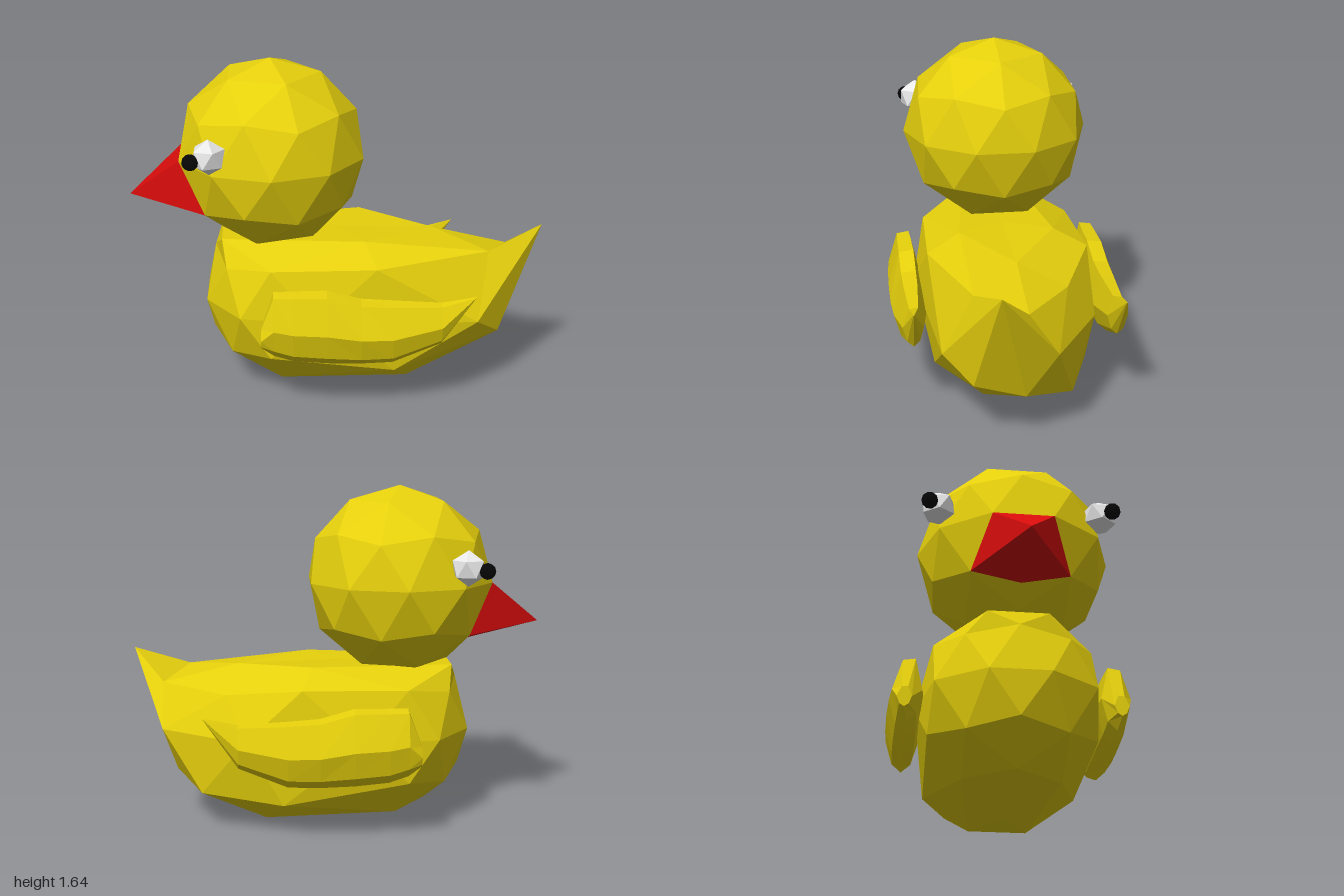
import * as THREE from 'three';
import { ConvexGeometry } from 'three/addons/geometries/ConvexGeometry.js';

const paint = (name, color) => {
  const m = new THREE.MeshStandardMaterial({ color, flatShading: true });
  m.name = name;
  return m;
};

// Faceted ball with one corner straight up and the ring below it starting at +x
function facetedBall(radius, detail) {
  return new THREE.IcosahedronGeometry(radius, detail)
    .rotateZ(-Math.atan(2 / (1 + Math.sqrt(5))));
}

// Body: a faceted ball whose rear corners are drawn back into a tail and whose top is flattened.
// Corners are keyed by level (height in the unit ball) and compass angle.
const bodyMoves = {
  '100': { any: [0, 0.785, 0] },
  '85': {
    '0': [0.48, 0.77, 0], '72': [0.13, 0.79, 0.23], '-72': [0.13, 0.79, -0.23],
    '144': [-0.555, 0.78, 0.142], '-144': [-0.555, 0.78, -0.142],
  },
  '53': { '36': [0.73, 0.73, 0.23], '-36': [0.54, 0.66, -0.23] },
  '45': { '0': [0.85, 0.68, 0], '72': [0.18, 0.71, 0.39], '-72': [0.18, 0.71, -0.39] },
  '0': {
    '18': [1, 0.83, 0.14], '-18': [0.85, 0.475, -0.14],
    '54': [0.67, 0.42, 0.37], '-54': [0.45, 0.46, -0.38],
    '90': [-0.1, 0.46, 0.44], '-90': [-0.1, 0.46, -0.44],
  },
  '-45': { '36': [0.79, 0.31, 0.24], '-36': [0.66, 0.18, -0.24] },
  '-53': { '0': [0.79, 0.24, 0], '72': [0.27, 0.17, 0.372], '-72': [0.27, 0.15, -0.375] },
  '-85': { '36': [0.35, 0.02, 0.142], '-36': [0.35, 0.02, -0.142] },
  '-100': { any: [0.07, 0, 0] },
};

function bodyGeometry() {
  const r = 0.46;
  const geo = facetedBall(r, 1);
  const p = geo.attributes.position;
  for (let i = 0; i < p.count; i++) {
    const x = p.getX(i), y = p.getY(i), z = p.getZ(i);
    const level = Math.round((y / r) * 100) + 0;
    const angle = Math.round(THREE.MathUtils.radToDeg(Math.atan2(z, x))) + 0;
    const row = bodyMoves[level];
    const to = row && (row.any || row[angle]);
    if (to) p.setXYZ(i, ...to);
    else p.setXYZ(i, x - 0.2, y + r, z);
  }
  geo.computeVertexNormals();
  return geo;
}

// Wing: loft of faceted sections from the rounded front to the pointed rear
function wingGeometry(side) {
  // x, top, bottom, centre z, half thickness
  const stations = [
    [-0.37, 0.47, 0.37, 0.5, 0.035],
    [-0.31, 0.635, 0.32, 0.485, 0.07],
    [-0.22, 0.635, 0.29, 0.485, 0.08],
    [-0.06, 0.635, 0.275, 0.485, 0.086],
    [0.1, 0.59, 0.27, 0.485, 0.086],
    [0.25, 0.58, 0.275, 0.485, 0.078],
    [0.48, 0.57, 0.37, 0.485, 0.05],
    [0.64, 0.61, 0.605, 0.49, 0.003],
  ];
  // height fraction and sideways fraction around one section
  const section = [[1, -0.5], [0.97, 0.35], [0.5, 1], [0.14, 0.6], [0, 0], [0.14, -0.6], [0.5, -1]];
  const n = section.length, pos = [], index = [];
  const tri = (a, b, c) => (side > 0 ? index.push(a, b, c) : index.push(a, c, b));
  stations.forEach(([x, top, bottom, cz, half], i) => {
    for (const [t, w] of section) pos.push(x, bottom + (top - bottom) * t, side * (cz + half * w));
    if (i === 0) return;
    for (let k = 0; k < n; k++) {
      const a = (i - 1) * n + k, b = (i - 1) * n + (k + 1) % n;
      tri(a, b, b + n);
      tri(a, b + n, a + n);
    }
  });
  // end caps
  const last = (stations.length - 1) * n;
  for (let k = 1; k < n - 1; k++) {
    tri(0, k + 1, k);
    tri(last, last + k, last + k + 1);
  }
  const geo = new THREE.BufferGeometry();
  geo.setAttribute('position', new THREE.Float32BufferAttribute(pos, 3));
  geo.setIndex(index);
  geo.computeVertexNormals();
  return geo;
}

export function createModel() {
  const group = new THREE.Group();
  group.name = 'toyDuck';
  const yellow = paint('yellow', 0xe6d00c);
  const red = paint('red', 0xd80c0c);
  const white = paint('white', 0xe7e7e7);
  const black = paint('black', 0x060606);

  const add = (name, geometry, material, x = 0, y = 0, z = 0) => {
    const mesh = new THREE.Mesh(geometry, material);
    mesh.name = name;
    mesh.position.set(x, y, z);
    group.add(mesh);
  };

  add('body', bodyGeometry(), yellow);
  add('head', facetedBall(0.46, 1), yellow, -0.31, 1.18, 0);

  // Beak: pointed wedge rooted in the head
  const beak = [
    [-1, 0.97, 0], [-0.747, 1.18, 0.142], [-0.747, 1.18, -0.142],
    [-0.626, 0.938, 0.23], [-0.626, 0.938, -0.23], [-0.59, 0.873, 0],
  ].map((c) => new THREE.Vector3(...c));
  add('beak', new ConvexGeometry(beak), red);

  // Wings and eyes on both sides
  for (const [label, s] of [['front', 1], ['back', -1]]) {
    add(label + 'SideWing', wingGeometry(s), yellow);
    add(label + 'SideEye', facetedBall(0.085, 0), white, -0.592, 1.278, s * 0.378);
    add(label + 'SidePupil', facetedBall(0.039, 1), black, -0.672, 1.27, s * 0.425);
  }
  return group;
}
